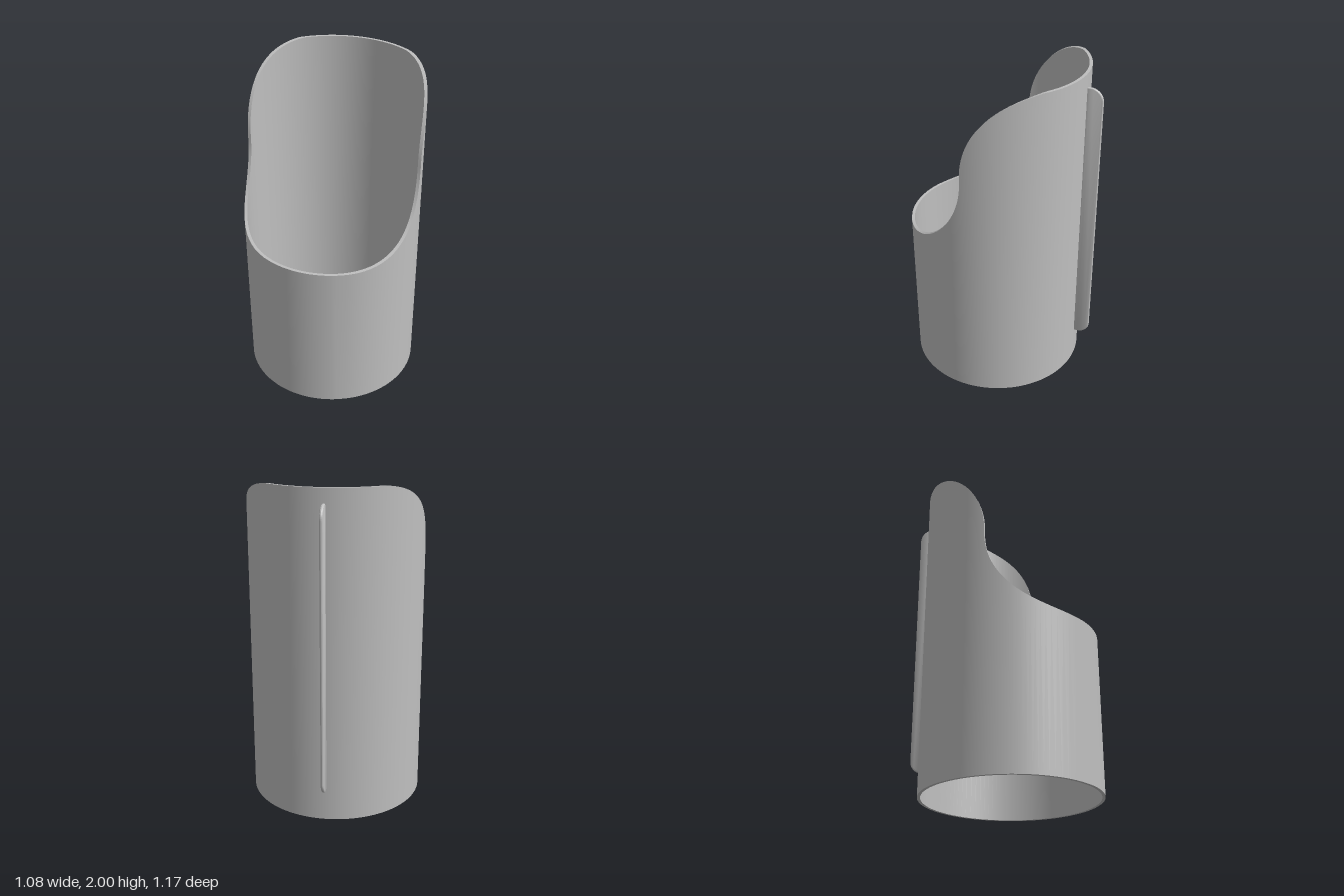
import * as THREE from 'three';
import { mergeGeometries, toCreasedNormals } from 'three/addons/utils/BufferGeometryUtils.js';

const OUTER = 0.5375, INNER = 0.5195, AXIS_Z = 0.0475;
const LOW_R = 0.5, LOW_Y = 1.478, HIGH_R = 0.51, HIGH_Y = 1.5, TOP = 2;

// Height of the S-shaped cut at distance d in front of the tube axis
function cutHeight(d) {
  if (d >= LOW_R) return LOW_Y - LOW_R;
  if (d >= 0) return LOW_Y - Math.sqrt(LOW_R ** 2 - (LOW_R - d) ** 2);
  const s = HIGH_R ** 2 - (d + HIGH_R) ** 2;
  return Math.min(TOP, d < -0.41 ? TOP : HIGH_Y + Math.sqrt(Math.max(0, s)));
}

// Angles round the tube, closer together where the cut is steep
function tubeAngles() {
  const half = [];
  const start = Math.acos(LOW_R / OUTER);
  for (let i = 0; i < 8; i++) half.push(start * i / 8);
  for (let i = 0; i <= 28; i++) {
    half.push(Math.acos(LOW_R * (1 - Math.sin(Math.PI / 2 * i / 28)) / OUTER));
  }
  const end = Math.asin((TOP - HIGH_Y) / HIGH_R);
  for (let i = 1; i <= 28; i++) {
    half.push(Math.acos(-HIGH_R * (1 - Math.cos(end * i / 28)) / OUTER));
  }
  const last = half[half.length - 1];
  for (let i = 1; i <= 12; i++) half.push(last + (Math.PI - last) * i / 12);
  const mirrored = half.slice(1, -1).reverse().map(a => 2 * Math.PI - a);
  return half.concat(mirrored);
}

// Closed band between two loops of points
function band(a, b) {
  const n = a.length, index = [];
  for (let i = 0; i < n; i++) {
    const j = (i + 1) % n;
    index.push(i, j, n + j, i, n + j, n + i);
  }
  const geo = new THREE.BufferGeometry();
  geo.setAttribute('position', new THREE.Float32BufferAttribute([...a, ...b].flat(), 3));
  geo.setIndex(index);
  geo.computeVertexNormals();
  return geo;
}

export function createModel() {
  const group = new THREE.Group();
  const grey = new THREE.MeshStandardMaterial({ color: 0xbfbfbf });
  grey.name = 'grey';

  // Hollow tube: outer wall, rim, inner wall and base ring
  const angles = tubeAngles();
  const loop = (r, cut) => angles.map(a => [
    r * Math.sin(a), cut ? cutHeight(r * Math.cos(a)) : 0, AXIS_Z + r * Math.cos(a),
  ]);
  const outerLow = loop(OUTER, false), outerTop = loop(OUTER, true);
  const innerLow = loop(INNER, false), innerTop = loop(INNER, true);
  const tube = new THREE.Mesh(mergeGeometries([
    band(outerLow, outerTop),
    band(outerTop, innerTop),
    band(innerTop, innerLow),
    band(innerLow, outerLow),
  ]), grey);
  tube.name = 'scoopTube';
  group.add(tube);

  // Slim rounded fin up the back, its root sunk in the tube wall
  const bevel = 0.009, root = -0.488, tip = -0.576, low = 0.209, high = 1.906, r = 0.07;
  const outline = new THREE.Shape();
  outline.moveTo(root, low);
  outline.lineTo(root, high);
  outline.lineTo(tip + r, high);
  outline.absarc(tip + r, high - r, r, Math.PI / 2, Math.PI, false);
  outline.lineTo(tip, low + r);
  outline.absarc(tip + r, low + r, r, Math.PI, Math.PI * 1.5, false);
  outline.closePath();
  const finGeo = new THREE.ExtrudeGeometry(outline, {
    depth: 0.002, bevelEnabled: true, bevelSize: bevel, bevelThickness: bevel,
    bevelSegments: 5, curveSegments: 12,
  });
  finGeo.translate(0, 0, bevel);
  finGeo.rotateY(-Math.PI / 2);
  const fin = new THREE.Mesh(toCreasedNormals(finGeo, 0.6), grey);
  fin.name = 'backFin';
  group.add(fin);

  return group;
}
